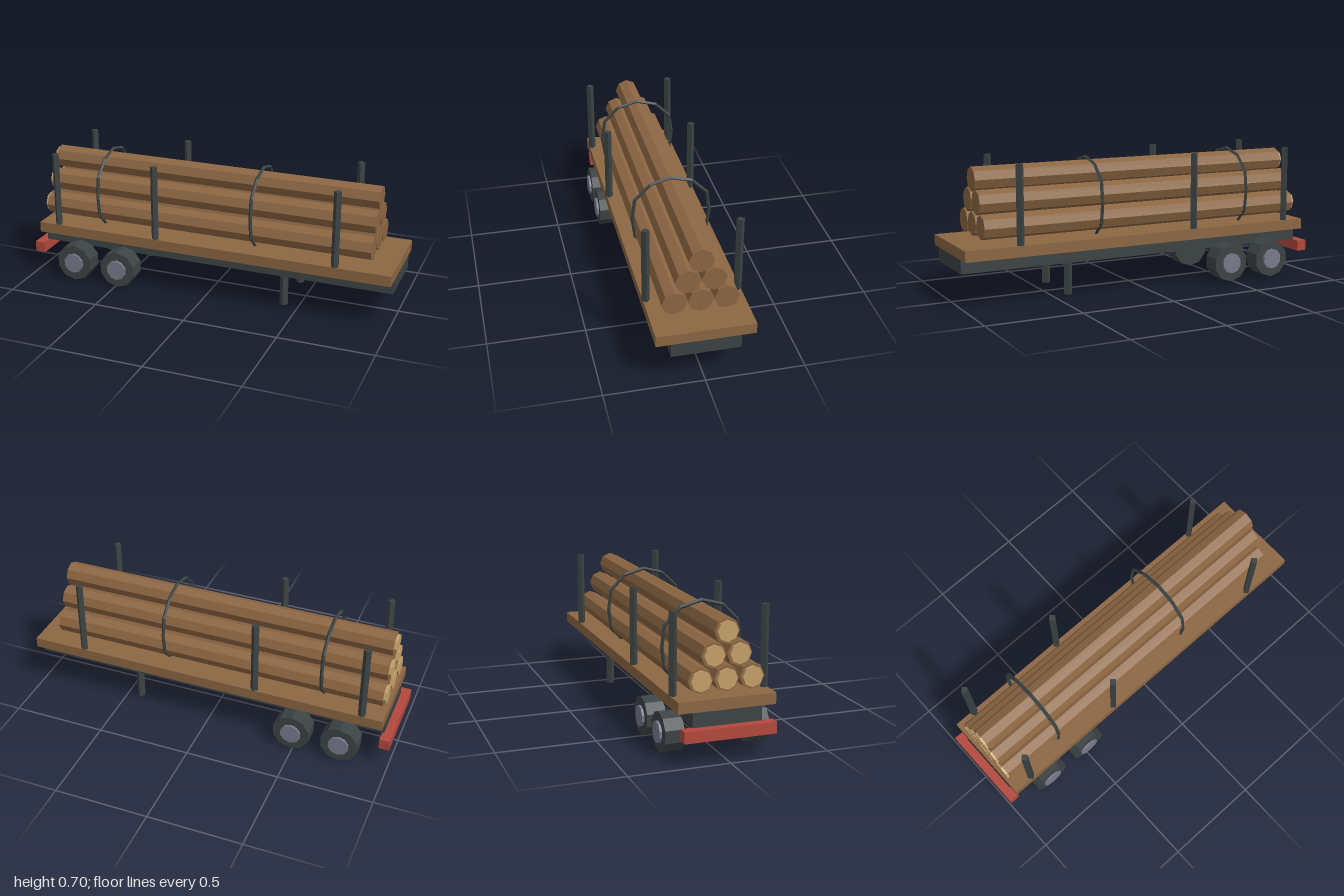
import * as THREE from 'three';

const material = (name, color) => {
  const m = new THREE.MeshStandardMaterial({ color });
  m.name = name;
  return m;
};

export function createModel() {
  const model = new THREE.Group();
  model.name = 'logTrailer';

  const wood = material('brown wood', 0x8c6642);
  const cutWood = material('pale cut wood', 0xc4a06a);
  const metal = material('dark metal', 0x3c4343);
  const hubGrey = material('hub grey', 0x78788c);
  const red = material('bumper red', 0xb2473c);

  // Adds a faceted mesh
  const add = (name, geometry, mat, x, y, z) => {
    const g = geometry.index ? geometry.toNonIndexed() : geometry;
    g.computeVertexNormals();
    const mesh = new THREE.Mesh(g, mat);
    mesh.name = name;
    mesh.position.set(x, y, z);
    model.add(mesh);
    return mesh;
  };
  const box = (name, mat, x0, x1, y0, y1, halfZ) =>
    add(name, new THREE.BoxGeometry(x1 - x0, y1 - y0, halfZ * 2), mat, (x0 + x1) / 2, (y0 + y1) / 2, 0);
  const post = (name, r, x, y0, y1, z) =>
    add(name, new THREE.CylinderGeometry(r, r, y1 - y0, 4), metal, x, (y0 + y1) / 2, z);

  // Bed
  box('deck', wood, -0.955, 1, 0.247, 0.303, 0.244);
  box('chassis', metal, -0.955, 1, 0.175, 0.247, 0.172);
  box('rearBumper', red, -1, -0.945, 0.118, 0.175, 0.23);

  // Parts mirrored on both sides
  for (const side of [1, -1]) {
    for (const x of [-0.843, -0.27, 0.71]) post('stake', 0.02, x, 0.303, 0.705, side * 0.23);
    post('landingLeg', 0.0228, 0.422, 0.007, 0.175, side * 0.145);
    for (const x of [-0.745, -0.487]) {
      add('tyre', new THREE.CylinderGeometry(0.101, 0.101, 0.097, 10).rotateX(Math.PI / 2),
        metal, x, 0.101, side * 0.2165);
      add('hub', new THREE.CylinderGeometry(0.055, 0.055, 0.02, 10).rotateX(Math.PI / 2),
        hubGrey, x, 0.101, side * 0.267);
    }
  }

  // Logs stacked three, two, one, each with a pale sawn face at the rear
  [[0.389, 3], [0.504, 2], [0.614, 1]].forEach(([y, count]) => {
    for (let i = 0; i < count; i++) {
      const z = (i - (count - 1) / 2) * 0.128;
      add('log', new THREE.CylinderGeometry(0.0625, 0.0625, 1.812, 8).rotateZ(Math.PI / 2), wood, -0.026, y, z);
      add('sawnFace', new THREE.CylinderGeometry(0.051, 0.051, 0.02, 8).rotateZ(Math.PI / 2), cutWood, -0.936, y, z);
    }
  });

  // Straps: twelve-sided hoops, pulled in slightly where they meet the stakes
  for (const x of [-0.615, 0.25]) {
    const hoop = new THREE.TorusGeometry(0.2165, 0.0095, 4, 12).rotateY(Math.PI / 2);
    const p = hoop.attributes.position;
    for (let i = 0; i < p.count; i++) {
      if (Math.abs(p.getY(i)) < 0.05) p.setZ(i, p.getZ(i) - Math.sign(p.getZ(i)) * 0.015);
    }
    add('strap', hoop, metal, x, 0.476, 0);
  }

  return model;
}
